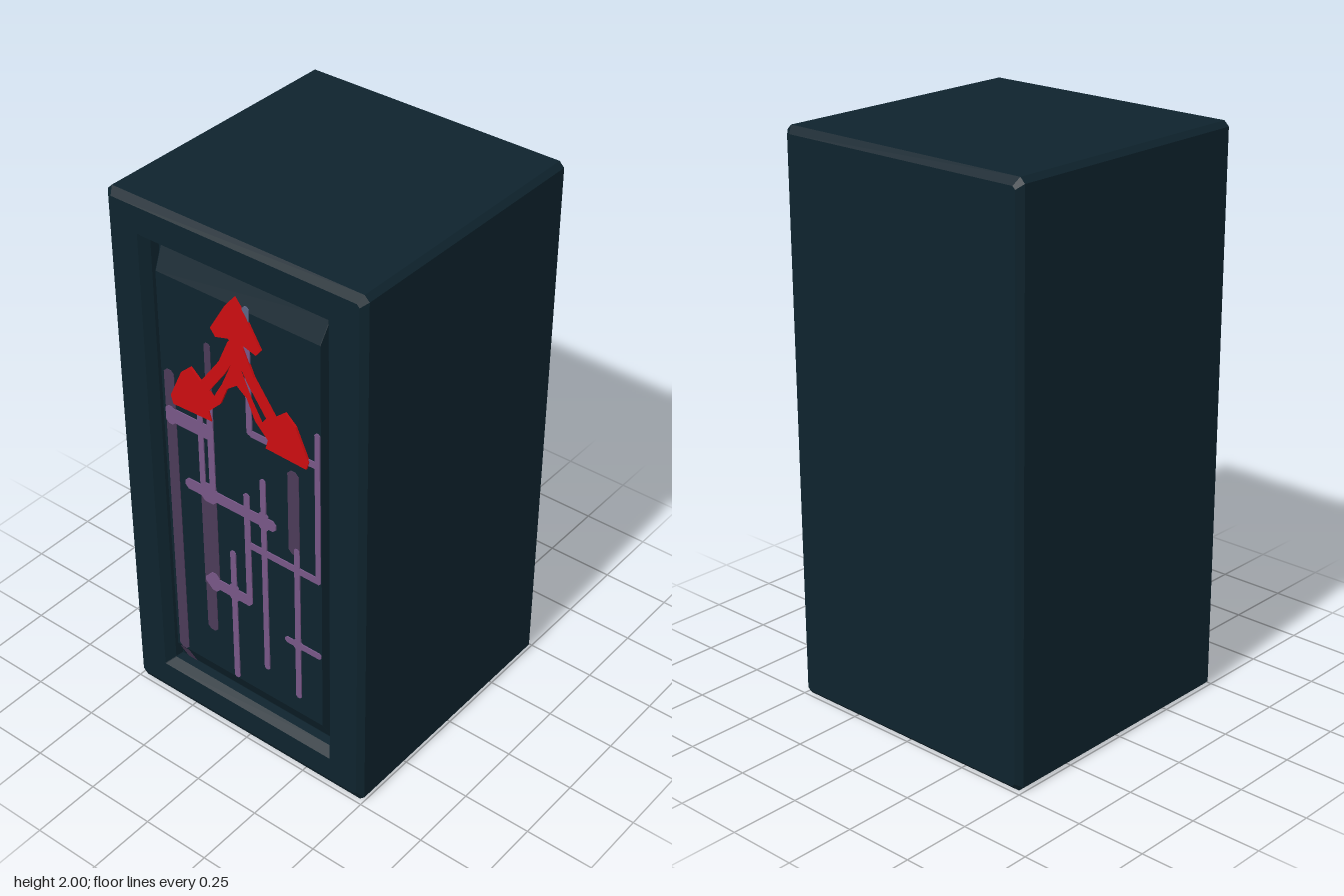
import * as THREE from 'three';

const mat = (name, color) => {
  const m = new THREE.MeshStandardMaterial({ color });
  m.name = name;
  return m;
};

// Rectangle with cut corners, counter-clockwise seen from the front
function ring(hw, y0, y1, z, c) {
  return [
    [hw - c, y0], [hw, y0 + c], [hw, y1 - c], [hw - c, y1],
    [-hw + c, y1], [-hw, y1 - c], [-hw, y0 + c], [-hw + c, y0],
  ].map(([x, y]) => [x, y, z]);
}

// Flat-faced skin through a list of rings, closed at both ends
function loft(rings) {
  const pos = [];
  const tri = (a, b, c) => pos.push(...a, ...b, ...c);
  for (let r = 0; r < rings.length - 1; r++) {
    const A = rings[r], B = rings[r + 1];
    for (let i = 0; i < 8; i++) {
      const j = (i + 1) % 8;
      tri(A[i], A[j], B[j]);
      tri(A[i], B[j], B[i]);
    }
  }
  const first = rings[0], last = rings[rings.length - 1];
  for (let i = 1; i < 7; i++) {
    tri(first[0], first[i + 1], first[i]);
    tri(last[0], last[i], last[i + 1]);
  }
  const g = new THREE.BufferGeometry();
  g.setAttribute('position', new THREE.Float32BufferAttribute(pos, 3));
  g.computeVertexNormals();
  return g;
}

export function createModel() {
  const group = new THREE.Group();
  const navy = mat('dark navy', 0x0e232d);
  const purple = mat('purple paint', 0x775787);
  const dim = mat('faded purple paint', 0x4b3a58);
  const slate = mat('slate paint', 0x5c6684);
  const red = mat('red paint', 0xcc0d10);
  const add = (name, geometry, material, z = 0) => {
    const m = new THREE.Mesh(geometry, material);
    m.name = name;
    m.position.z = z;
    group.add(m);
  };

  // Bevelled block with a framed recess and a raised panel inside it
  add('cabinetBody', loft([
    ring(0.48, 0.02, 1.975, -0.5, 0.01),
    ring(0.5, 0, 2, -0.48, 0.018),
    ring(0.5, 0, 2, 0.48, 0.018),
    ring(0.48, 0.035, 1.975, 0.5, 0.01),
    ring(0.37, 0.13, 1.88, 0.5, 0.002),
    ring(0.345, 0.155, 1.86, 0.47, 0.002),
    ring(0.34, 0.157, 1.85, 0.44, 0.002),
    ring(0.33, 0.16, 1.84, 0.44, 0.002),
    ring(0.322, 0.24, 1.76, 0.48, 0.002),
  ]), navy);

  // Painted strokes: thin plates with blunted ends
  const stroke = (x0, x1, y0, y1) => {
    const s = new THREE.Shape();
    const c = Math.min(x1 - x0, y1 - y0) * 0.3;
    s.moveTo(x0 + c, y0);
    [[x1 - c, y0], [x1, y0 + c], [x1, y1 - c], [x1 - c, y1],
      [x0 + c, y1], [x0, y1 - c], [x0, y0 + c]].forEach(p => s.lineTo(...p));
    return s;
  };
  const plate = (shapes, depth) => new THREE.ExtrudeGeometry(shapes, { depth, bevelEnabled: false });

  add('fadedStrokes', plate([
    [-0.31, -0.268, 0.24, 1.41],
    [-0.175, -0.11, 0.58, 1.0],
    [-0.172, -0.128, 0.4, 0.62],
    [-0.135, -0.11, 1.4, 1.58],
    [0.19, 0.235, 0.92, 1.25],
  ].map(b => stroke(...b)), 0.004), dim, 0.478);

  // Lower end of the long stroke follows the sloping panel edge
  const tail = new THREE.PlaneGeometry(0.042, 0.09);
  tail.rotateX(Math.atan2(0.04, 0.08));
  tail.translate(-0.289, 0.2, 0.463);
  add('strokeTail', tail, dim);

  add('purpleStrokes', plate([
    // Upright runs
    [-0.175, -0.153, 1.0, 1.32], [-0.135, -0.11, 0.98, 1.4],
    [0.008, 0.032, 0.61, 1.07], [-0.058, -0.035, 0.245, 0.8],
    [0.078, 0.1, 0.36, 1.16], [0.3, 0.32, 0.86, 1.44],
    [0.213, 0.235, 0.31, 0.95], [0.03, 0.052, 1.31, 1.7],
    // Level runs
    [-0.31, -0.11, 1.21, 1.265], [-0.24, 0.14, 0.97, 1.012],
    [-0.17, 0.03, 0.6, 0.642], [0.02, 0.32, 0.85, 0.876],
    [0.17, 0.32, 0.533, 0.557], [0.04, 0.32, 1.305, 1.33],
    // Thick spots where runs meet
    [-0.31, -0.27, 1.2, 1.27], [-0.18, -0.1, 0.955, 1.03],
    [0.07, 0.108, 0.955, 1.03], [-0.155, -0.11, 0.585, 0.66],
    [-0.065, -0.028, 0.585, 0.66], [0.2, 0.245, 0.525, 0.565],
  ].map(b => stroke(...b)), 0.005), purple, 0.479);
  add('slateStroke', plate(stroke(0.028, 0.052, 1.68, 1.78), 0.005), slate, 0.48);

  // Red strokes: a point at the top and two splayed, tipped legs
  const outline = pts => new THREE.Shape(pts.map(p => new THREE.Vector2(...p)));
  const head = outline([
    [0, 1.8], [0.04, 1.75], [0.1, 1.65], [0.08, 1.625], [0.03, 1.64], [0, 1.62],
    [-0.03, 1.64], [-0.08, 1.625], [-0.1, 1.65], [-0.04, 1.75],
  ]);
  const shapes = [head];
  for (const s of [-1, 1]) {
    const flip = pts => pts.map(([x, y]) => [x * s, y]);
    const leg = outline(flip([
      [0, 1.66], [0.03, 1.63], [0.07, 1.54], [0.15, 1.43], [0.19, 1.465],
      [0.23, 1.43], [0.28, 1.32], [0.27, 1.29], [0.11, 1.295], [0.12, 1.33],
      [0.07, 1.38], [0.04, 1.45], [0, 1.48],
    ]));
    leg.holes.push(new THREE.Path(flip([
      [0.02, 1.55], [0.05, 1.5], [0.115, 1.41], [0.1, 1.39], [0.06, 1.46],
    ]).map(p => new THREE.Vector2(...p))));
    shapes.push(leg);
  }
  add('redStrokes', plate(shapes, 0.008), red, 0.48);

  return group;
}
